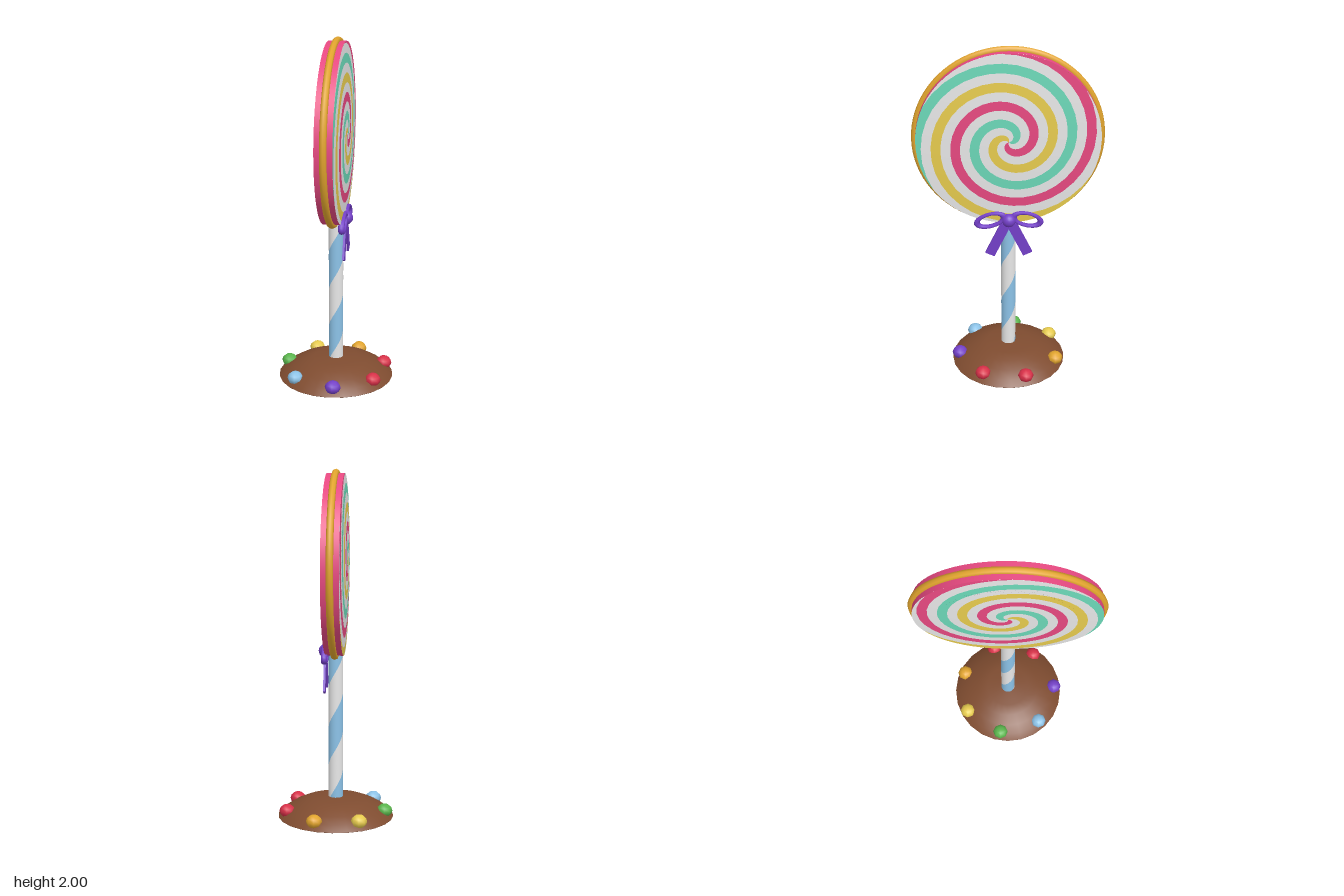
import * as THREE from 'three';
import { ParametricGeometry } from 'three/addons/geometries/ParametricGeometry.js';

const mat = (name, color) => {
  const m = new THREE.MeshStandardMaterial({ color });
  m.name = name;
  return m;
};

export function createModel() {
  const white = mat('white', 0xf4f4f4), pink = mat('pink', 0xf04c86), mint = mat('mint', 0x6cd8b8);
  const yellow = mat('yellow', 0xecd050), gold = mat('gold', 0xe2a52e), blue = mat('light blue', 0x90c8ee);
  const brown = mat('chocolate brown', 0x7f4c30), purple = mat('purple', 0x7440c8);
  const red = mat('red', 0xd83048), green = mat('green', 0x5ab54c);

  const model = new THREE.Group();
  model.name = 'lollipop';
  const add = (parent, name, geometry, material, x = 0, y = 0, z = 0) => {
    const mesh = new THREE.Mesh(geometry, material);
    mesh.name = name;
    mesh.position.set(x, y, z);
    parent.add(mesh);
    return mesh;
  };

  // Chocolate base: low dome with a flat underside
  const profile = [[0, 0], [0.335, 0], [0.335, 0.002], [0.3, 0.034], [0.25, 0.066], [0.19, 0.092], [0.13, 0.109], [0, 0.116]];
  const points = profile.map(([r, y]) => new THREE.Vector2(r, y));
  add(model, 'base', new THREE.LatheGeometry(points, 24), brown);

  // Candies around the base
  const candies = [
    [-0.148, -0.255, yellow], [0.105, -0.275, gold], [0.275, -0.09, red], [0.236, 0.16, red],
    [0.02, 0.292, purple], [-0.212, 0.195, blue], [-0.285, -0.046, green],
  ];
  const candyGeometry = new THREE.SphereGeometry(0.046, 8, 6).scale(1, 0.85, 1);
  for (const [x, z, material] of candies) add(model, 'candy', candyGeometry, material, x, 0.046, z);

  // Stick: two half-turn ribbons twisting upwards
  const stickRadius = 0.042, bottom = 0.1, top = 0.98;
  [blue, white].forEach((material, i) => {
    const ribbon = (u, v, p) => {
      const y = bottom + (top - bottom) * v;
      const a = 2 * Math.PI * (y - 0.285) / 0.455 + Math.PI * (u - 0.5 + i);
      p.set(stickRadius * Math.sin(a), y, stickRadius * Math.cos(a));
    };
    add(model, 'stickStripe', new ParametricGeometry(ribbon, 12, 60), material);
  });

  // Candy disc, its axis along x
  const disc = new THREE.Group();
  disc.name = 'candyDisc';
  disc.position.y = 1.465;
  model.add(disc);
  const R = 0.512, halfWidth = 0.05, pitch = 0.325;
  add(disc, 'discRim', new THREE.CylinderGeometry(R, R, 2 * halfWidth, 80, 1, true).rotateZ(Math.PI / 2), pink);
  add(disc, 'goldBand', new THREE.TorusGeometry(0.515, 0.02, 8, 80).rotateY(Math.PI / 2), gold);

  // Domed faces made of six spiral arms each
  const arms = [mint, white, pink, white, yellow, white];
  for (const side of [1, -1]) {
    arms.forEach((material, k) => {
      const arm = (u, v, p) => {
        const r = 0.0005 + (R - 0.0005) * (side > 0 ? u : 1 - u);
        const a = 2 * Math.PI * ((r - 0.02) / pitch - (k + 0.5 - v) / 6);
        const x = halfWidth + 0.017 * (1 - (r / R) ** 2);
        p.set(side * x, r * Math.sin(a), -r * Math.cos(a));
      };
      add(disc, 'spiralArm', new ParametricGeometry(arm, 56, 10), material);
    });
  }

  // Ribbon bow on the left side of the disc
  const bow = new THREE.Group();
  bow.name = 'bow';
  bow.position.set(0.058, 0.972, 0);
  model.add(bow);
  add(bow, 'bowKnot', new THREE.SphereGeometry(0.04, 16, 12), purple);
  const loopGeometry = new THREE.TorusGeometry(0.078, 0.018, 8, 28).rotateY(Math.PI / 2).scale(1, 0.5, 1);
  const tailGeometry = new THREE.BoxGeometry(0.012, 0.21, 0.058);
  for (const s of [1, -1]) {
    add(bow, 'bowLoop', loopGeometry, purple, -0.004, 0.002, s * 0.105).rotation.x = s * 0.28;
    add(bow, 'bowTail', tailGeometry, purple, 0, -0.125, s * 0.064).rotation.x = -s * 0.44;
  }
  return model;
}
